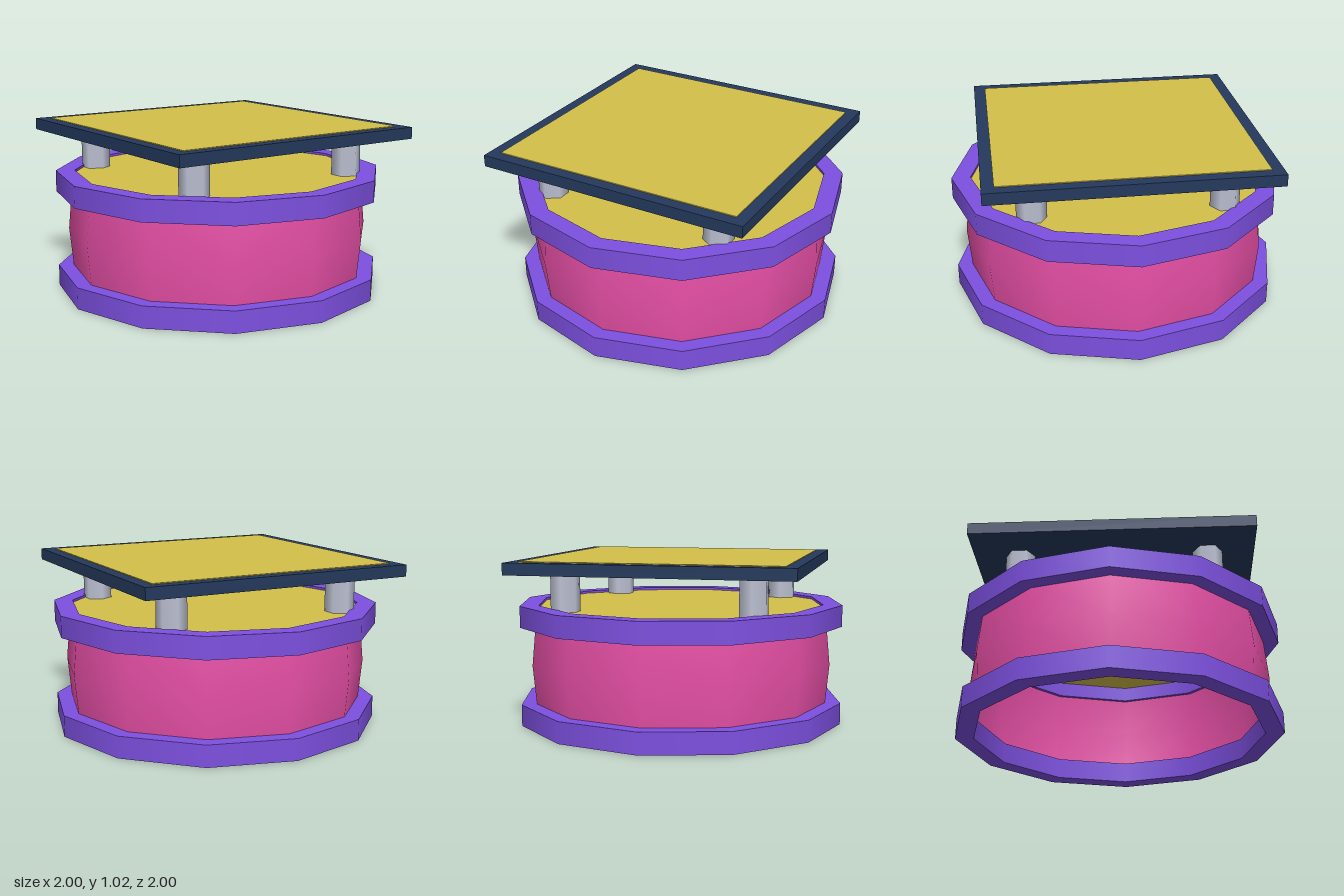
import * as THREE from 'three';

const SIDES = 12;

const makeMaterial = (name, color, side = THREE.FrontSide) => {
  const m = new THREE.MeshStandardMaterial({ color, side });
  m.name = name;
  return m;
};

export function createModel() {
  const purple = makeMaterial('purple', 0x7d50e0);
  const pink = makeMaterial('pink', 0xe64fa6, THREE.DoubleSide);
  const gold = makeMaterial('gold', 0xd4bf4a);
  const navy = makeMaterial('navy', 0x24395c);
  const grey = makeMaterial('grey', 0xbec3d4);

  const model = new THREE.Group();
  model.name = 'drumTable';

  const add = (name, geometry, material, x = 0, y = 0, z = 0) => {
    const mesh = new THREE.Mesh(geometry, material);
    mesh.name = name;
    mesh.position.set(x, y, z);
    model.add(mesh);
    return mesh;
  };

  const lathe = (points) =>
    new THREE.LatheGeometry(points.map(([r, y]) => new THREE.Vector2(r, y)), SIDES);

  // Rims: rectangular section, with doubled corners so the edges stay sharp
  const outer = 1, inner = 0.885, rimHeight = 0.13;
  const rim = lathe([
    [outer, 0], [outer, rimHeight],
    [outer, rimHeight], [inner, rimHeight],
    [inner, rimHeight], [inner, 0],
    [inner, 0], [outer, 0],
  ]);
  add('bottomRim', rim, purple);
  add('topRim', rim, purple, 0, 0.6, 0);

  // Hollow shell, slightly bulged at mid height, open at the bottom
  add('shell', lathe([[0.905, 0.1], [0.93, 0.365], [0.905, 0.63]]), pink);

  // Drum head recessed just inside the top rim
  add('drumHead', new THREE.CylinderGeometry(0.887, 0.887, 0.02, SIDES), gold, 0, 0.705, 0);

  // Four hexagonal posts
  const post = new THREE.CylinderGeometry(0.0875, 0.0875, 0.24, 6);
  for (const x of [-1, 1]) {
    for (const z of [-1, 1]) {
      const name = (z > 0 ? 'front' : 'back') + (x > 0 ? 'Left' : 'Right') + 'Post';
      add(name, post, grey, x * 0.555, 0.83, z * 0.555);
    }
  }

  // Square table top with a thin inlay
  add('tableTop', new THREE.BoxGeometry(1.66, 0.07, 1.66), navy, 0, 0.977, 0);
  add('tableInlay', new THREE.BoxGeometry(1.52, 0.008, 1.52), gold, 0, 1.013, 0);

  return model;
}
